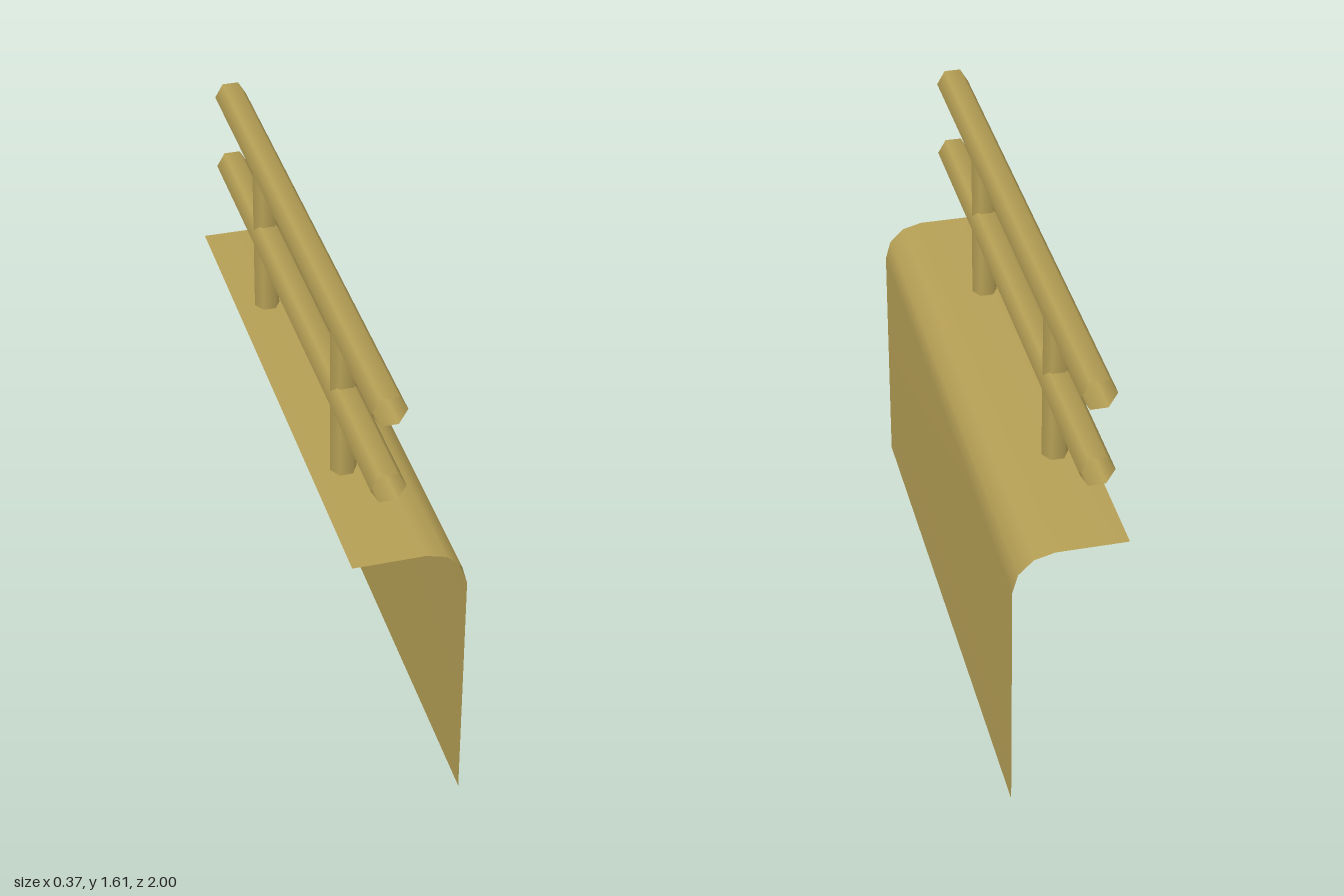
import * as THREE from 'three';

const material = new THREE.MeshStandardMaterial({ color: 0xb59f55, side: THREE.DoubleSide });
const RAIL_X = -0.075;

// Open six-sided pipe with corners towards +x and -x
function pipe(name, radius, length) {
  const geometry = new THREE.CylinderGeometry(radius, radius, length, 6, 1, true, Math.PI / 2);
  const mesh = new THREE.Mesh(geometry, material);
  mesh.name = name;
  return mesh;
}

// Thin sheet: flat ledge, rounded edge, vertical wall
function ledgeSheet() {
  const profile = [[-0.185, 1]];
  const radius = 0.135;
  for (let i = 0; i <= 3; i++) {
    const a = (i / 3) * Math.PI / 2;
    profile.push([0.05 + radius * Math.sin(a), 1 - radius + radius * Math.cos(a)]);
  }
  profile.push([0.185, 0]);

  const positions = [], indices = [];
  profile.forEach(([x, y], i) => {
    positions.push(x, y, 1, x, y, -1);
    if (i > 0) {
      const a = (i - 1) * 2;
      indices.push(a, a + 2, a + 1, a + 1, a + 2, a + 3);
    }
  });
  const geometry = new THREE.BufferGeometry();
  geometry.setAttribute('position', new THREE.Float32BufferAttribute(positions, 3));
  geometry.setIndex(indices);
  geometry.computeVertexNormals();
  const mesh = new THREE.Mesh(geometry, material);
  mesh.name = 'ledgeSheet';
  return mesh;
}

export function createModel() {
  const group = new THREE.Group();
  group.name = 'ledgeWithRailing';
  group.add(ledgeSheet());

  // Two horizontal rails
  [['lowerRail', 1.285], ['upperRail', 1.563]].forEach(([name, y]) => {
    const rail = pipe(name, 0.056, 2);
    rail.rotation.x = Math.PI / 2;
    rail.position.set(RAIL_X, y, 0);
    group.add(rail);
  });

  // Two upright posts
  [['frontPost', 0.5], ['backPost', -0.5]].forEach(([name, z]) => {
    const post = pipe(name, 0.044, 0.63);
    post.position.set(RAIL_X, 1.265, z);
    group.add(post);
  });

  return group;
}
